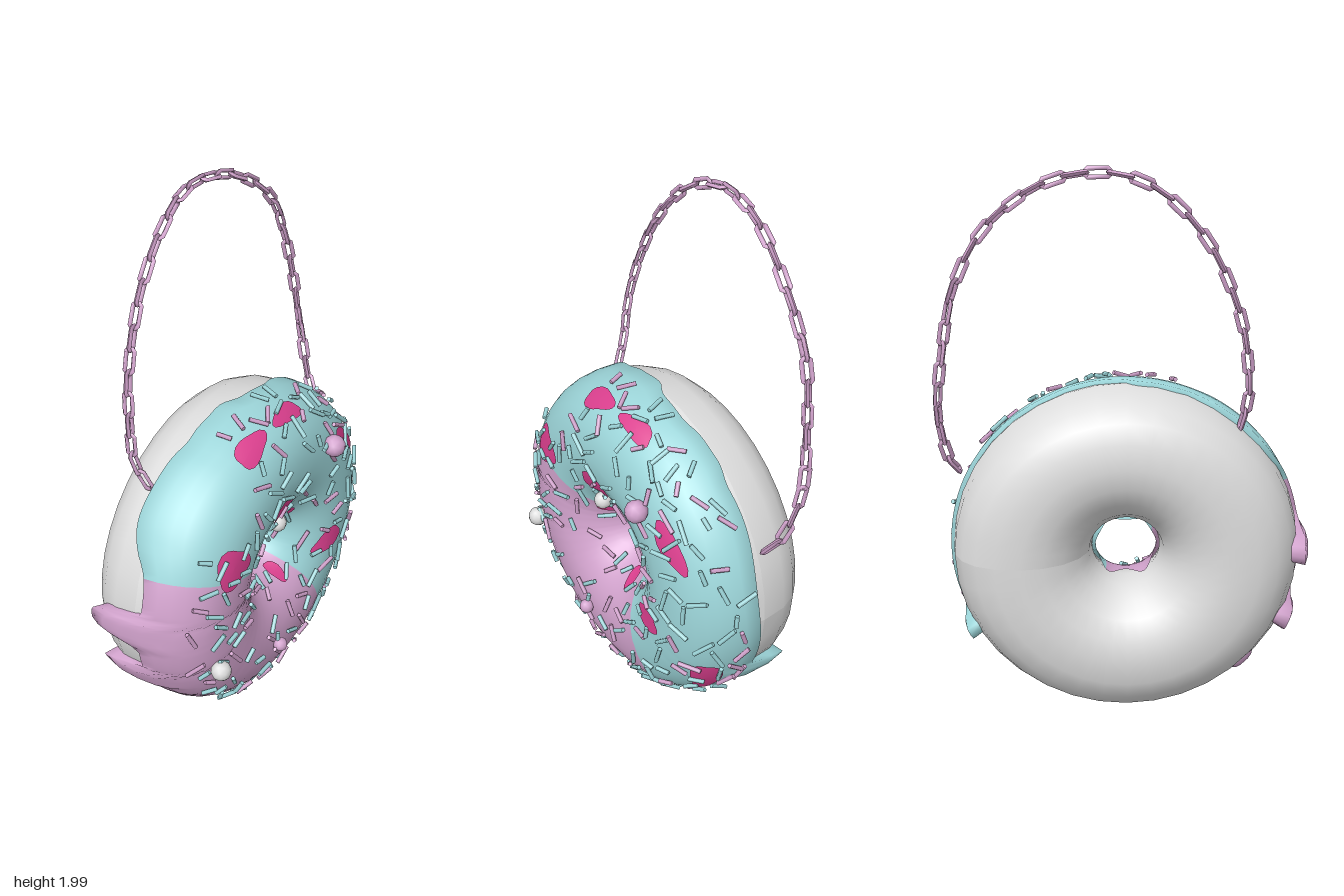
import * as THREE from 'three';
import { mergeGeometries } from 'three/addons/utils/BufferGeometryUtils.js';

const RAD = Math.PI / 180, RING = 0.36, TUBE = 0.255, DEPTH = 0.265;
const STRETCH = 1.035, SQUARE = 0.86;
const { lerp } = THREE.MathUtils;

const paint = (name, color, extra = {}) => {
  const m = new THREE.MeshStandardMaterial({ color, ...extra });
  m.name = name;
  return m;
};

// Small seeded random generator
function seeded(seed) {
  return () => {
    seed = (seed * 16807) % 2147483647;
    return seed / 2147483647;
  };
}

// Ring surface: theta runs round the ring, phi round the tube (0 outside, 90 deg front).
// The outer half of the tube is slightly squared, the inner half is round.
function surface(theta, phi, off = 0) {
  let c = Math.cos(phi), s = Math.sin(phi);
  if (c > 0) {
    c = Math.pow(c, SQUARE);
    s = Math.sign(s) * Math.pow(Math.abs(s), SQUARE);
  }
  const r = RING + (TUBE + off) * c;
  return new THREE.Vector3(STRETCH * r * Math.cos(theta), r * Math.sin(theta), (DEPTH + off) * s);
}
function normalAt(theta, phi) {
  return new THREE.Vector3(Math.cos(phi) * Math.cos(theta), Math.cos(phi) * Math.sin(theta), Math.sin(phi));
}
// Angles of the front surface point above a flat position
function locate(x, y) {
  const r = Math.hypot(x / STRETCH, y);
  const c = THREE.MathUtils.clamp((r - RING) / TUBE, -1, 1);
  return [Math.atan2(y, x / STRETCH), Math.acos(c > 0 ? Math.pow(c, 1 / SQUARE) : c), r];
}

// Sheet of quads from a rule
function sheet(nu, nv, rule) {
  const pos = [], index = [];
  for (let i = 0; i <= nu; i++) for (let j = 0; j <= nv; j++) pos.push(...rule(i / nu, j / nv, j).toArray());
  for (let i = 0; i < nu; i++) for (let j = 0; j < nv; j++) {
    const a = i * (nv + 1) + j, b = a + nv + 1;
    index.push(a, b, a + 1, b, b + 1, a + 1);
  }
  const g = new THREE.BufferGeometry();
  g.setAttribute('position', new THREE.Float32BufferAttribute(pos, 3));
  g.setIndex(index);
  g.computeVertexNormals();
  return g;
}

// Drips on the outer edge: angle, length and half width in degrees
const drips = [[179, 38, 6], [204, 36, 5.5], [227, 15, 6], [256, 12, 10], [-28, 30, 4.5], [62, 4, 10], [130, 13, 22], [100, 6, 10]];
function dripAt(theta) {
  let sum = 0;
  for (const [angle, length, width] of drips) {
    const d = ((theta / RAD - angle + 540) % 360 + 360) % 360 - 180;
    sum += length * Math.exp(-Math.pow(d / width, 4));
  }
  return sum;
}

// Icing sector between two borders, each given as [outer, inner] angle
function icing(from, to, steps) {
  const rows = 18;
  return sheet(steps, rows, (s, v, row) => {
    const t = Math.max(0, (row - 1) / (rows - 1));
    const theta = lerp(lerp(from[0], from[1], t), lerp(to[0], to[1], t), s) * RAD;
    const drip = dripAt(theta);
    const phi = lerp(4 - drip + 1.5 * Math.sin(theta * 7), 184 + 6 * Math.sin(theta * 5), t) * RAD;
    const bulge = row === 0 ? -0.03 : 0.0013 * Math.max(0, drip - 10) * Math.max(0, 1 - t * 4);
    return surface(theta, phi, bulge);
  });
}

// Blob that hugs the icing
function blob(x, y, w, h, tilt) {
  const [theta, phi, radius] = locate(x, y);
  const r = Math.max(radius, 0.12);
  return sheet(4, 20, (s, v) => {
    const a = v * Math.PI * 2, k = s * (1 + 0.14 * Math.sin(3 * a + x * 9));
    const px = w * k * Math.cos(a), py = h * k * Math.sin(a);
    const u = px * Math.cos(tilt) - py * Math.sin(tilt), q = px * Math.sin(tilt) + py * Math.cos(tilt);
    return surface(theta + u / r, phi + q / DEPTH, 0.006);
  });
}

export function createModel() {
  const model = new THREE.Group();
  model.name = 'doughnutBag';
  const mat = {
    dough: paint('dough white', 0xdedede),
    teal: paint('teal', 0x9dd6da, { side: THREE.DoubleSide }),
    pink: paint('pink', 0xd2a3cd, { side: THREE.DoubleSide }),
    magenta: paint('magenta', 0xdb3f8e),
  };
  const bag = new THREE.Group();
  bag.name = 'doughnut';
  bag.position.set(-0.012, 0.622, -0.01);
  bag.rotation.y = 110.5 * RAD;
  model.add(bag);
  const add = (parent, name, geo, material) => {
    const mesh = new THREE.Mesh(geo, material);
    mesh.name = name;
    parent.add(mesh);
    return mesh;
  };

  // Plain dough ring
  const turn = Math.PI * 2;
  add(bag, 'doughRing', sheet(36, 20, (u, v) => surface(u * turn, v * turn, -0.013)), mat.dough);

  // Two-tone icing
  add(bag, 'tealIcing', icing([-67, -49], [157.5, 150], 110), mat.teal);
  add(bag, 'pinkIcing', icing([157.5, 150], [293, 311], 80), mat.pink);

  // Magenta spots: x, y, half width, half height, tilt
  const spots = [
    [-0.39, 0.24, 0.075, 0.075, 0.5], [-0.06, 0.27, 0.08, 0.045, 0], [0.4, 0.29, 0.1, 0.045, 0.2],
    [-0.14, 0.555, 0.08, 0.05, 0.1], [0.09, 0.565, 0.085, 0.04, 0], [0.28, -0.12, 0.045, 0.08, 0.6],
    [0.52, -0.27, 0.11, 0.06, 0.2], [0.12, 0.09, 0.035, 0.05, 0.4], [0.05, -0.15, 0.025, 0.055, 0],
    [-0.14, 0.06, 0.025, 0.04, 0],
  ];
  add(bag, 'icingSpots', mergeGeometries(spots.map((s) => blob(...s))), mat.magenta);

  // Sugar pearls: x, y, radius, colour
  for (const [x, y, r, c] of [[0.25, 0.36, 0.042, 'pink'], [-0.05, 0.2, 0.033, 'dough'],
    [-0.47, -0.165, 0.038, 'dough'], [-0.1, -0.35, 0.028, 'pink']]) {
    const [theta, phi] = locate(x, y);
    add(bag, 'sugarPearl', new THREE.IcosahedronGeometry(r, 1), mat[c]).position.copy(surface(theta, phi, r * 0.6));
  }

  // Sprinkles scattered over the icing, kept off the pink outer rim
  const rnd = seeded(4711), placed = [], sticks = { teal: [], pink: [] };
  const up = new THREE.Vector3(0, 1, 0);
  for (let tries = 0; placed.length < 180 && tries < 4000; tries++) {
    const theta = rnd() * turn, phi = lerp(12, 155, rnd()) * RAD;
    const keep = rnd() < (RING + TUBE * Math.cos(phi)) / 0.62;
    const p = surface(theta, phi, 0.01);
    const bare = (p.x < -0.25 && p.y > 0.32) || (theta > 2 && theta < 5.1 && phi < 36 * RAD);
    if (!keep || bare || placed.some((q) => q.distanceTo(p) < 0.054)) continue;
    placed.push(p);
    const n = normalAt(theta, phi);
    const side = new THREE.Vector3(-Math.sin(theta), Math.cos(theta), 0);
    const dir = side.applyAxisAngle(n, rnd() * Math.PI).addScaledVector(n, (rnd() - 0.5) * 0.3).normalize();
    const g = new THREE.CylinderGeometry(0.0085, 0.0085, lerp(0.045, 0.09, rnd()), 5);
    g.applyQuaternion(new THREE.Quaternion().setFromUnitVectors(up, dir)).translate(p.x, p.y, p.z);
    sticks[rnd() < 0.62 ? 'teal' : 'pink'].push(g);
  }
  for (const c of ['teal', 'pink']) add(bag, c + 'Sprinkles', mergeGeometries(sticks[c]), mat[c]);

  // Chain handle made of long links, each turned against the last
  const path = new THREE.CatmullRomCurve3([
    [0.06, 1.08, 0.39], [0.025, 1.2, 0.425], [0.012, 1.32, 0.425], [-0.02, 1.5, 0.4], [-0.08, 1.75, 0.3],
    [-0.15, 1.92, 0.15], [-0.22, 1.975, 0], [-0.27, 1.94, -0.2], [-0.31, 1.79, -0.4], [-0.345, 1.6, -0.5],
    [-0.345, 1.4, -0.55], [-0.33, 1.15, -0.585], [-0.27, 0.97, -0.58], [-0.22, 0.91, -0.565],
  ].map((p) => new THREE.Vector3(...p)));
  const link = new THREE.TorusGeometry(0.0155, 0.0085, 4, 8).rotateZ(Math.PI / 8);
  const lp = link.attributes.position;
  for (let i = 0; i < lp.count; i++) lp.setY(i, lp.getY(i) + Math.sign(lp.getY(i)) * 0.026);
  link.computeVertexNormals();
  const chain = new THREE.Group();
  chain.name = 'chainHandle';
  model.add(chain);
  const count = 34;
  for (let i = 0; i < count; i++) {
    const t = (i + 0.5) / count;
    const mesh = add(chain, 'chainLink', link, mat.pink);
    mesh.position.copy(path.getPointAt(t));
    mesh.quaternion.setFromUnitVectors(up, path.getTangentAt(t));
    mesh.rotateY((i % 2) * Math.PI / 2 + 0.5);
  }
  return model;
}
